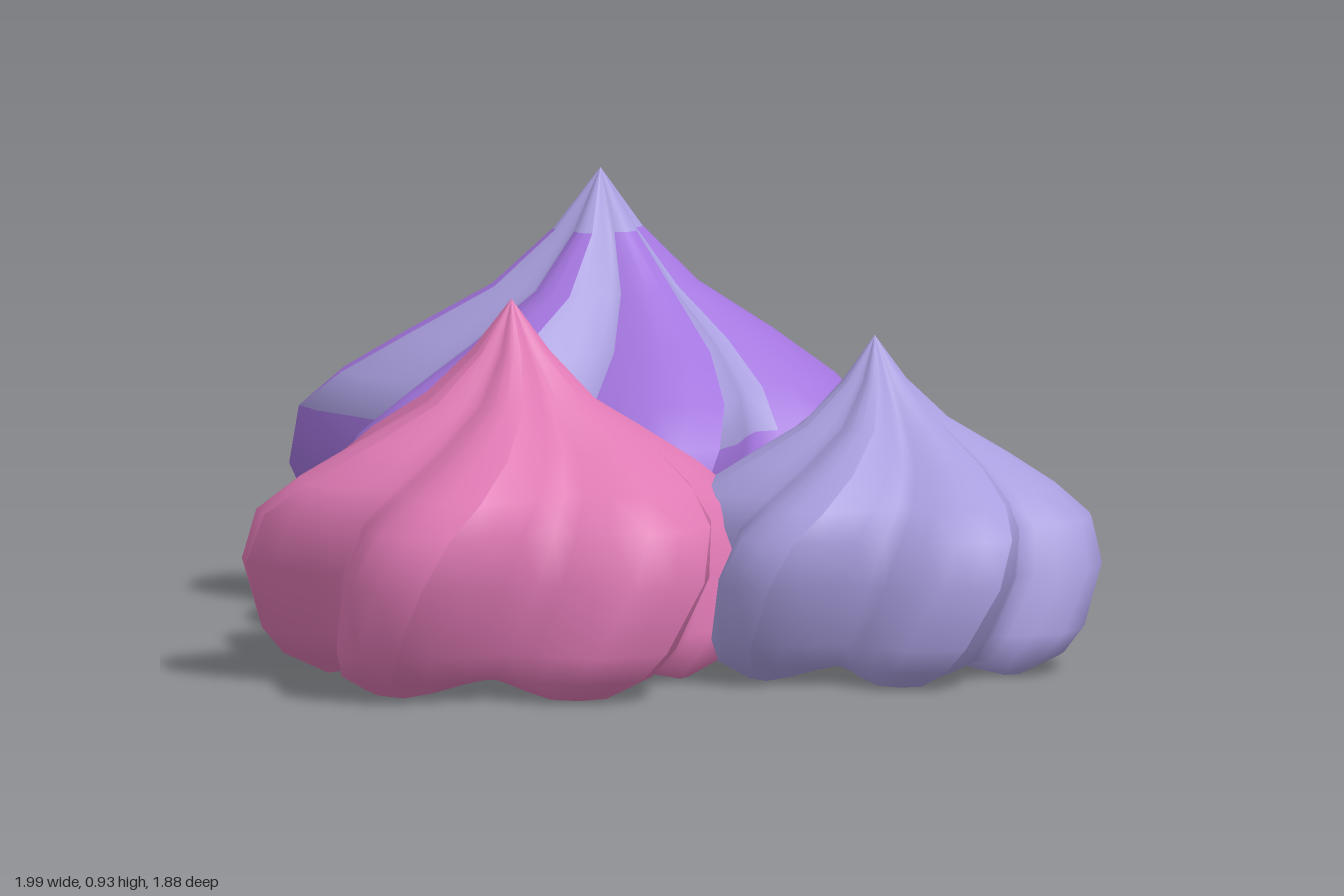
import * as THREE from 'three';

const mat = (name, color) => {
  const m = new THREE.MeshStandardMaterial({ color, side: THREE.DoubleSide });
  m.name = name;
  return m;
};

// Rings from tip to open base: radius share, height share, twist in degrees, groove depth share
const RINGS = [
  [0, 1, 42, 0], [0.15, 0.865, 32, 0.2], [0.34, 0.74, 25, 0.24], [0.6, 0.63, 16, 0.25], [0.81, 0.535, 9, 0.25],
  [0.95, 0.45, 3, 0.25], [1, 0.31, -3, 0.25], [0.93, 0.13, -11, 0.26], [0.85, 0.055, -15, 0.27], [0.69, 0, -19, 0.28],
];
// Across one lobe, from ridge to ridge: share of the spacing, groove amount
const ACROSS = [[0.15, 0], [0.27, 0.3], [0.41, 0.74], [0.56, 1], [0.65, 0.82], [0.75, 0.5], [0.87, 0.1], [1, -0.02], [1.15, 0]];
const STRIPE_RINGS = 5;   // stripes stop at this ring
const STRIPE_COLS = 4;    // and cover these columns beside each ridge

// A twisted, fluted shell; lobes lists the lobe directions in degrees, counter-clockwise from above
function swirlGeometry(radius, height, lobes, lean) {
  const pos = [], body = [], stripe = [];
  const cols = ACROSS.length, n = lobes.length;
  const lobeAngle = (i) => lobes[i % n] + (i >= n ? 360 : 0);
  for (let i = 0; i < n; i++) {
    const from = lobeAngle(i), to = lobeAngle(i + 1), after = lobeAngle(i + 2);
    const start = pos.length / 3;
    RINGS.forEach(([r, y, twist, depth], k) => {
      for (const [t, groove] of ACROSS) {
        const angle = t <= 1 ? from + (to - from) * t : to + (after - to) * (t - 1);
        const a = THREE.MathUtils.degToRad(angle + twist);
        const rr = radius * r * (1 - depth * groove);
        // the base edge rises a little in each groove
        const lift = k === RINGS.length - 1 ? 0.045 * Math.max(groove, 0) : 0;
        pos.push(rr * Math.cos(a) + lean[0] * r, height * (y + lift), -rr * Math.sin(a) + lean[1] * r);
      }
    });
    for (let k = 0; k < RINGS.length - 1; k++) {
      for (let j = 0; j < cols - 1; j++) {
        const p = start + k * cols + j, d = p + cols;
        const striped = k === 0 || (k < STRIPE_RINGS && j < STRIPE_COLS);
        const list = striped ? stripe : body;
        list.push(p, d, d + 1);
        if (k > 0) list.push(p, d + 1, p + 1);
      }
    }
  }
  const g = new THREE.BufferGeometry();
  g.setAttribute('position', new THREE.Float32BufferAttribute(pos, 3));
  g.setIndex([...body, ...stripe]);
  g.addGroup(0, body.length, 0);
  g.addGroup(body.length, stripe.length, 1);
  g.computeVertexNormals();
  return g;
}

export function createModel() {
  const purple = mat('purple', 0xa375de);
  const lilac = mat('lilac', 0xa99ede);
  const pink = mat('pink', 0xdf79b4);

  const model = new THREE.Group();
  model.name = 'meringues';

  const addSwirl = (name, x, z, radius, height, lobes, lean, bodyMat, stripeMat) => {
    const mesh = new THREE.Mesh(swirlGeometry(radius, height, lobes, lean), [bodyMat, stripeMat]);
    mesh.name = name;
    mesh.position.set(x, 0, z);
    model.add(mesh);
  };

  addSwirl('largeStripedMeringue', -0.37, -0.32, 0.63, 0.93, [-153, -92, -27, 31, 93, 153], [-0.03, 0.015], purple, lilac);
  addSwirl('mediumPinkMeringue', 0.16, 0.42, 0.54, 0.79, [-131, -69, 0, 66, 119, 172], [-0.02, 0], pink, pink);
  addSwirl('smallLilacMeringue', 0.55, -0.24, 0.465, 0.69, [-138, -78, -15, 42, 99, 160], [-0.01, -0.015], lilac, lilac);

  return model;
}
